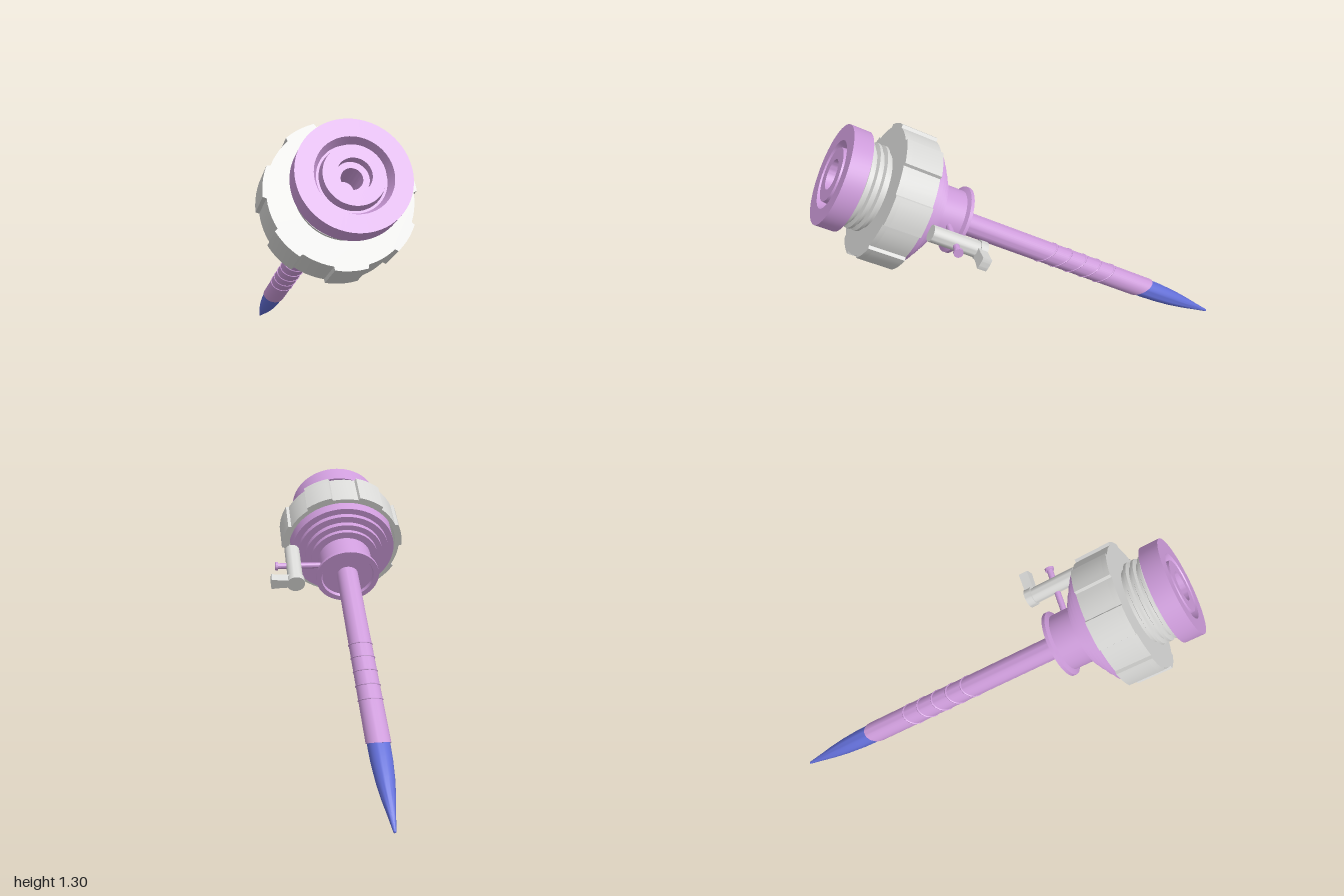
import * as THREE from 'three';
import { toCreasedNormals } from 'three/addons/utils/BufferGeometryUtils.js';

const paint = (name, color) => {
  const m = new THREE.MeshStandardMaterial({ color });
  m.name = name;
  return m;
};

export function createModel() {
  const pink = paint('lilac plastic', 0xce9cdb);
  const grey = paint('light grey plastic', 0xd8d8d6);
  const blue = paint('blue tip', 0x636fd8);

  // The instrument is built upright with its tip at the origin, then tilted.
  const body = new THREE.Group();
  body.name = 'instrument';

  const add = (name, geometry, material, x = 0, y = 0, z = 0) => {
    const mesh = new THREE.Mesh(geometry, material);
    mesh.name = name;
    mesh.position.set(x, y, z);
    body.add(mesh);
    return mesh;
  };
  const lathe = (name, profile, material, segments = 64) => {
    const points = profile.map(([r, y]) => new THREE.Vector2(r, y));
    return add(name, toCreasedNormals(new THREE.LatheGeometry(points, segments), 0.6), material);
  };

  // Pointed tip
  lathe('pointedTip', [[0, 0], [0.006, 0.004], [0.017, 0.08], [0.03, 0.16], [0.041, 0.25],
    [0.048, 0.35], [0.05, 0.44], [0.05, 0.52]], blue, 32);

  // Long sleeve with an obliquely cut end
  const sleeve = new THREE.CylinderGeometry(0.055, 0.055, 1.1, 40);
  const p = sleeve.attributes.position;
  for (let i = 0; i < p.count; i++) {
    p.setY(i, p.getY(i) > 0 ? 1.57 : 0.455 + 0.75 * p.getZ(i));
  }
  sleeve.computeVertexNormals();
  add('sleeve', toCreasedNormals(sleeve, 0.6), pink);

  // Slanted grip ridges around the sleeve
  for (let i = 0; i < 5; i++) {
    const ridge = new THREE.TorusGeometry(0.0545, 0.004, 8, 40);
    ridge.rotateX(Math.PI / 2);
    const q = ridge.attributes.position;
    for (let j = 0; j < q.count; j++) q.setY(j, q.getY(j) + 0.65 * q.getZ(j));
    ridge.computeVertexNormals();
    add('gripRidge', ridge, pink, 0, 0.7 + i * 0.088, 0);
  }

  // Housing: flange, waist and stepped discs
  lathe('housing', [[0, 1.565], [0.13, 1.565], [0.135, 1.55], [0.162, 1.55], [0.162, 1.566],
    [0.138, 1.575], [0.138, 1.695], [0.175, 1.695], [0.175, 1.715], [0.205, 1.715],
    [0.205, 1.74], [0.24, 1.74], [0.24, 1.765], [0.272, 1.765], [0.272, 1.94], [0, 1.94]], pink);

  // Lobed grip ring
  const outline = (hole) => {
    const shape = new THREE.Shape();
    const sections = 14, steps = 5, width = (2 * Math.PI) / sections;
    for (let i = 0; i < sections; i++) {
      const r = i % 2 ? 0.306 : 0.321;
      for (let j = 0; j <= steps; j++) {
        const a = -Math.PI / 2 + (i - 0.48 + (0.96 * j) / steps) * width;
        shape[i + j ? 'lineTo' : 'moveTo'](r * Math.cos(a), r * Math.sin(a));
      }
    }
    shape.closePath();
    if (hole) shape.holes.push(new THREE.Path().absarc(0, 0, hole, 0, Math.PI * 2, true));
    return shape;
  };
  const slab = (hole, depth) => {
    const g = new THREE.ExtrudeGeometry(outline(hole), { depth, bevelEnabled: false, curveSegments: 48 });
    g.rotateX(-Math.PI / 2);
    return toCreasedNormals(g, 0.3);
  };
  add('gripRing', slab(0.285, 0.15), grey, 0, 1.8, 0);
  add('gripRingFace', slab(0, 0.025), grey, 0, 1.95, 0);

  // Ribbed neck
  const neck = [[0.18, 1.97]];
  for (let i = 0; i < 3; i++) {
    const y = 1.99 + i * 0.035;
    neck.push([0.18, y], [0.202, y + 0.006], [0.202, y + 0.018], [0.18, y + 0.024]);
  }
  neck.push([0.18, 2.12]);
  lathe('ribbedNeck', neck, grey);

  // Cap with a groove, a central boss and a stepped bore
  lathe('cap', [[0.17, 2.09], [0.235, 2.09], [0.235, 2.182], [0.16, 2.182], [0.142, 2.14],
    [0.132, 2.14], [0.126, 2.182], [0.071, 2.182], [0.071, 2.14], [0.045, 2.14],
    [0.045, 2.0], [0, 2.0]], pink);

  // Side nozzle with a small lip
  const nozzle = (name, r, x0, x1) => {
    const g = new THREE.CylinderGeometry(r, r, x1 - x0, 20);
    g.rotateZ(Math.PI / 2);
    add(name, toCreasedNormals(g, 0.6), pink, (x0 + x1) / 2, 1.63, -0.015);
  };
  nozzle('sideNozzle', 0.015, 0.1, 0.36);
  nozzle('nozzleLip', 0.022, 0.354, 0.367);

  // Valve barrel and its lever
  const barrel = new THREE.CylinderGeometry(0.039, 0.039, 0.25, 32);
  add('valveBarrel', toCreasedNormals(barrel, 0.6), grey, 0.272, 1.625, -0.018);
  const head = new THREE.CylinderGeometry(0.046, 0.046, 0.035, 32);
  add('valveHead', toCreasedNormals(head, 0.6), grey, 0.272, 1.5, -0.018);
  const lever = new THREE.Shape();
  lever.moveTo(0, -0.022);
  lever.lineTo(0.08, -0.026);
  lever.lineTo(0.122, -0.03);
  lever.quadraticCurveTo(0.13, 0, 0.122, 0.03);
  lever.lineTo(0.08, 0.026);
  lever.lineTo(0, 0.022);
  const leverGeometry = new THREE.ExtrudeGeometry(lever, { depth: 0.045, bevelEnabled: false });
  leverGeometry.rotateX(-Math.PI / 2);
  add('valveLever', toCreasedNormals(leverGeometry, 0.5), grey, 0.272, 1.485, -0.018);

  body.rotation.x = Math.PI / 3;
  body.position.set(-0.04, 0.005, -1);

  const model = new THREE.Group();
  model.name = 'model';
  model.add(body);
  return model;
}
